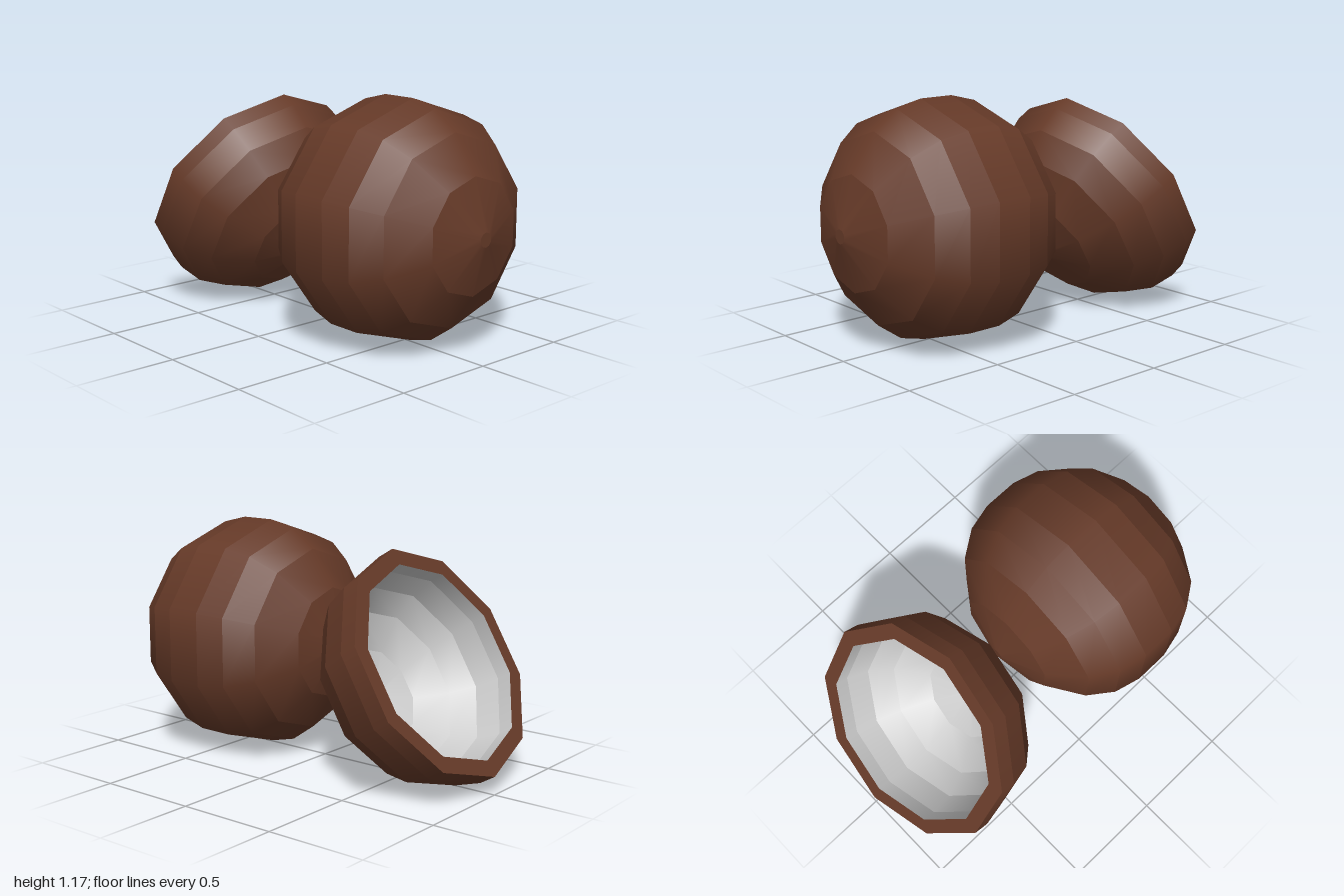
import * as THREE from 'three';
import { mergeGeometries } from 'three/addons/utils/BufferGeometryUtils.js';

const SIDES = 10;
// outer profile of one half: [radius, distance along the axis], rim to tip
const HALF = [[0.582, 0.09], [0.547, 0.23], [0.457, 0.36], [0.277, 0.487], [0.035, 0.558], [0, 0.558]];

// lathe whose bands are smooth around the axis, with sharp edges between bands
function bandedLathe(profile) {
  const points = profile.map(([r, y]) => new THREE.Vector2(r, y));
  const bands = [];
  for (let i = 0; i < points.length - 1; i++) {
    bands.push(new THREE.LatheGeometry([points[i], points[i + 1]], SIDES, Math.PI / 2));
  }
  return mergeGeometries(bands);
}

function part(name, profile, color) {
  const mesh = new THREE.Mesh(bandedLathe(profile), new THREE.MeshStandardMaterial({ color }));
  mesh.name = name;
  return mesh;
}

export function createModel() {
  const model = new THREE.Group();
  model.name = 'coconuts';
  const brown = 0x663a28;

  // whole coconut, lying with its axis along x
  const mirrored = HALF.map(([r, y]) => [r, -y]).reverse();
  const whole = part('wholeCoconut', [...mirrored, ...HALF], brown);
  whole.rotation.z = -Math.PI / 2;
  whole.position.set(0.441, 0.592, 0);
  model.add(whole);

  // open half, tilted so its cut face looks up and to the side
  const half = new THREE.Group();
  half.name = 'halfCoconut';
  const inner = 0.86;
  const rim = HALF[0][0];
  half.add(part('halfShell', [[rim * inner, 0], [rim, 0], ...HALF], brown));

  // hollow flesh lining, seen from inside
  const lining = [[rim, 0], ...HALF].map(([r, y]) => [r * inner, y * inner]).reverse();
  half.add(part('flesh', lining, 0xcccccc));
  half.rotation.z = -2.107;
  half.position.set(-0.702, 0.593, 0);
  model.add(half);

  return model;
}
